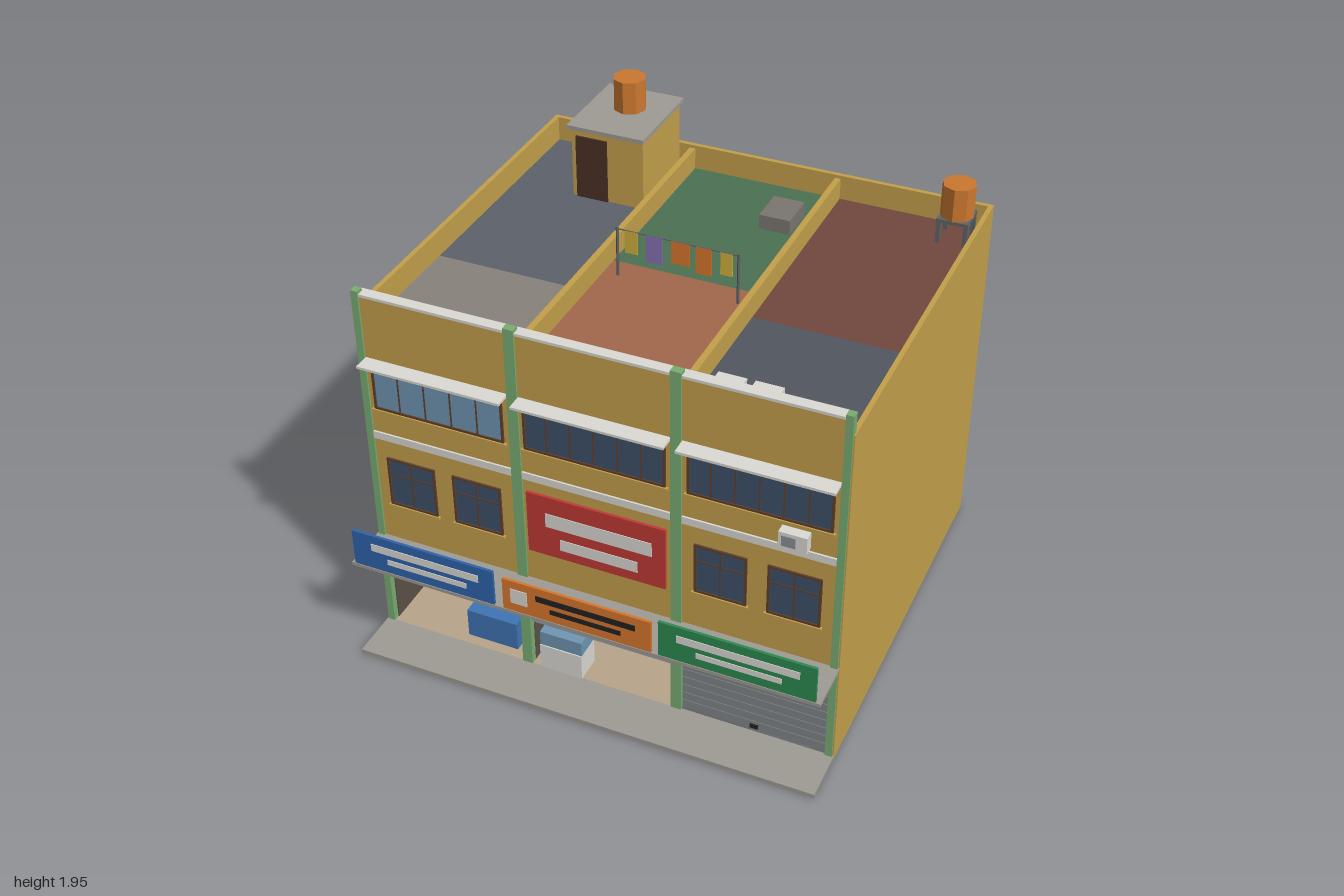
import * as THREE from 'three';

const C = {
  wall: 0xc4a04b, green: 0x7aad72, white: 0xdcdad4, concrete: 0x9f9b94, frame: 0x5f402e, door: 0x4a3026,
  glass: 0x3e5168, lightGlass: 0x7096b4, dark: 0x38302a, shelf: 0xa58a6c, tank: 0xcb7830, pipe: 0x606468,
  shutter: 0x9aa0a3, shutterDark: 0x80868a, black: 0x222222, yellow: 0xd0b040, orange: 0xd8762c,
  blue: 0x3f82bd, purple: 0x8572b5, pink: 0xb8458f, lime: 0x4fa358, brown: 0x805a3c, red: 0xc23a36,
};
const mats = {};
const mat = (c) => (mats[c] ??= new THREE.MeshStandardMaterial({ color: c, flatShading: true }));

// Box given by its limits on each axis
function box(parent, name, x0, x1, y0, y1, z0, z1, color) {
  const m = new THREE.Mesh(new THREE.BoxGeometry(x1 - x0, y1 - y0, z1 - z0), mat(color));
  m.position.set((x0 + x1) / 2, (y0 + y1) / 2, (z0 + z1) / 2);
  m.name = name;
  parent.add(m);
  return m;
}
function cylinder(parent, name, x, z, y0, y1, r, color, sides = 8) {
  const m = new THREE.Mesh(new THREE.CylinderGeometry(r, r, y1 - y0, sides), mat(color));
  m.position.set(x, (y0 + y1) / 2, z);
  m.name = name;
  parent.add(m);
}
function group(parent, name) {
  const g = new THREE.Group();
  g.name = name;
  parent.add(g);
  return g;
}

const FRONT = 0.77, BACK = -0.945, ROOF = 1.47, TOP = 1.58;

// Framed window on the front (dir 1) or back (dir -1) wall
function windowUnit(parent, x0, x1, y0, y1, z, dir, panes, glass, rail) {
  const g = group(parent, 'window');
  const put = (n, a, b, c, d, depth, col) =>
    box(g, n, a, b, c, d, Math.min(z, z + dir * depth), Math.max(z, z + dir * depth), col);
  const f = 0.01;
  put('glass', x0 + f, x1 - f, y0 + f, y1 - f, 0.003, glass);
  for (const y of [y0, y1 - f]) put('frameRail', x0, x1, y, y + f, 0.008, C.frame);
  for (const x of [x0, x1 - f]) put('frameStile', x, x + f, y0 + f, y1 - f, 0.008, C.frame);
  for (let i = 1; i < panes; i++) {
    const x = x0 + ((x1 - x0) * i) / panes;
    put('mullion', x - 0.003, x + 0.003, y0 + f, y1 - f, 0.006, C.frame);
  }
  if (rail) put('transom', x0 + f, x1 - f, rail - 0.003, rail + 0.003, 0.0055, C.frame);
}

// Air conditioner with grille
function airCon(parent, x, y, z, dir) {
  const g = group(parent, 'airConditioner');
  const e = z + dir * 0.042, e2 = e + dir * 0.003;
  box(g, 'casing', x - 0.056, x + 0.056, y - 0.037, y + 0.037, Math.min(z, e), Math.max(z, e), C.white);
  box(g, 'grille', x - 0.043, x + 0.012, y - 0.023, y + 0.023, Math.min(e, e2), Math.max(e, e2), 0x8d9296);
}

// Slatted shutter
function shutter(parent, x0, x1, y0, y1, color) {
  const g = group(parent, 'shutter');
  box(g, 'shutterBacking', x0, x1, y0, y1, 0.74, 0.755, color);
  const n = Math.round((y1 - y0) / 0.042), h = (y1 - y0) / n;
  for (let i = 0; i < n; i++)
    box(g, 'slat', x0, x1, y0 + i * h + 0.003, y0 + (i + 1) * h, 0.755, 0.761, color);
}

// Sign board with blank bars: [x0, x1, y0, y1, color]
function sign(parent, x0, x1, y0, y1, z, color, bars) {
  const g = group(parent, 'sign');
  box(g, 'signBoard', x0, x1, y0, y1, z, z + 0.012, color);
  for (const [a, b, c, d, col] of bars) box(g, 'signBar', a, b, c, d, z + 0.012, z + 0.015, col);
}

// Open shop with shelves of goods
function shop(parent, x0, x1, shelfTop, rows, seed) {
  const g = group(parent, 'shop');
  box(g, 'shopFloor', x0, x1, 0.005, 0.02, 0.47, 0.775, 0xb9a48a);
  box(g, 'shopBack', x0, x1, 0.005, 0.44, 0.46, 0.47, C.dark);
  box(g, 'shopCeiling', x0, x1, 0.43, 0.44, 0.47, 0.75, C.dark);
  for (const x of [x0, x1 - 0.01]) box(g, 'shopSide', x, x + 0.01, 0.02, 0.43, 0.47, 0.75, 0x5c5148);
  const a = x0 + 0.03, b = x1 - 0.03;
  box(g, 'shelfBack', a, b, 0.02, shelfTop, 0.47, 0.5, C.shelf);
  const goods = [C.yellow, C.blue, C.white, C.brown, C.pink, C.lime, C.orange];
  const widths = [0.1, 0.14, 0.09, 0.17, 0.12];
  rows.forEach((y, r) => {
    box(g, 'shelfBoard', a, b, y - 0.012, y, 0.5, 0.57, C.shelf);
    let x = a + 0.012;
    for (let i = 0; x < b - 0.03; i++) {
      const w = Math.min(widths[(i + r * 2 + seed) % 5], b - 0.01 - x);
      box(g, 'goods', x, x + w, y, y + 0.052, 0.5, 0.56, goods[(i * 2 + r * 3 + seed) % 7]);
      x += w + 0.008;
    }
  });
  return g;
}

export function createModel() {
  const model = new THREE.Group();
  model.name = 'shopBuilding';

  // Pavement, outer walls and roof
  box(model, 'pavement', -1, 1, 0, 0.02, 0.77, 0.99, C.concrete);
  for (const s of [-1, 1])
    box(model, 'sideWall', Math.min(s, s * 0.98), Math.max(s, s * 0.98), 0, TOP, BACK, FRONT, C.wall);
  box(model, 'backWall', -0.98, 0.98, 0, TOP, BACK, BACK + 0.02, C.wall);
  box(model, 'frontWall', -0.98, 0.98, 0.44, 1.64, 0.75, FRONT, C.wall);
  box(model, 'parapetCap', -0.99, 0.99, 1.64, 1.652, 0.728, 0.774, C.white);
  const roofs = [
    [-0.98, -0.335, 0.155, 0x5c616b, 0x87837b],
    [-0.335, 0.335, -0.095, 0x4b7153, 0xa2684d],
    [0.335, 0.98, 0.07, 0x71473e, 0x52565f],
  ];
  for (const [x0, x1, split, back, front] of roofs) {
    box(model, 'rearRoof', x0, x1, ROOF - 0.02, ROOF, -0.925, split, back);
    box(model, 'frontRoof', x0, x1, ROOF - 0.02, ROOF, split, 0.75, front);
  }
  for (const x of [-0.335, 0.33])
    box(model, 'roofDivider', x - 0.013, x + 0.013, ROOF, 1.565, -0.925, 0.75, C.wall);
  for (const [x, w] of [[-0.98, 0.03], [-0.333, 0.044], [0.332, 0.044], [0.98, 0.03]])
    box(model, 'pillar', x - w / 2, x + w / 2, 0.02, 1.665, 0.745, 0.779, C.green);

  // Front bands, canopies and upper windows
  const bays = [[-0.965, -0.355], [-0.31, 0.31], [0.355, 0.965]];
  const upper = [[-0.945, -0.38, 5, C.lightGlass], [-0.295, 0.29, 6, C.glass], [0.375, 0.945, 6, C.glass]];
  bays.forEach(([a, b], i) => {
    box(model, 'floorBand', a, b, 0.985, 1.018, FRONT, 0.778, C.white);
    box(model, 'canopy', a, b, 1.355, 1.366, FRONT, 0.84, C.white);
    const [x0, x1, panes, glass] = upper[i];
    windowUnit(model, x0, x1, 1.133, 1.337, FRONT, 1, panes, glass);
    box(model, 'sill', x0 - 0.01, x1 + 0.01, 1.122, 1.133, FRONT, 0.784, C.wall);
  });
  for (const x of [-0.81, -0.517, 0.512, 0.808]) {
    windowUnit(model, x - 0.107, x + 0.107, 0.668, 0.9, FRONT, 1, 2, C.glass, 0.82);
    box(model, 'sill', x - 0.115, x + 0.115, 0.657, 0.668, FRONT, 0.784, C.wall);
  }
  airCon(model, 0.805, 1.068, FRONT, 1);

  // Signs and the awning slab
  box(model, 'awning', -1, 1, 0.473, 0.488, FRONT, 0.978, C.concrete);
  sign(model, -0.295, 0.29, 0.64, 0.93, FRONT, C.red,
    [[-0.215, 0.235, 0.785, 0.85, C.white], [-0.155, 0.175, 0.685, 0.737, C.white]]);
  sign(model, -0.985, -0.355, 0.488, 0.655, 0.963, 0x2f64ad,
    [[-0.9, -0.42, 0.58, 0.615, C.white], [-0.83, -0.475, 0.53, 0.556, C.white]]);
  sign(model, -0.315, 0.315, 0.488, 0.638, 0.963, C.orange,
    [[-0.28, -0.208, 0.53, 0.6, C.white], [-0.17, 0.25, 0.573, 0.6, C.black], [-0.11, 0.19, 0.528, 0.55, C.black]]);
  sign(model, 0.345, 0.98, 0.488, 0.655, 0.963, 0x2c8a52,
    [[0.42, 0.915, 0.58, 0.615, C.white], [0.5, 0.845, 0.53, 0.556, C.white]]);

  // Ground floor shops and shutters
  const left = shop(model, -0.97, -0.345, 0.32, [0.065, 0.15, 0.24], 0);
  for (let i = 0; i < 9; i++) {
    const c = [C.yellow, C.pink, C.lime, C.orange, C.white, C.blue, C.brown, C.orange, C.yellow][i];
    box(left, 'hangingGoods', -0.938 + i * 0.029, -0.924 + i * 0.029, 0.31, 0.42, 0.66, 0.672, c);
  }
  box(left, 'counter', -0.635, -0.405, 0.02, 0.155, 0.62, 0.73, 0x3f74b5);
  const middle = shop(model, -0.32, 0.32, 0.25, [0.065, 0.15], 3);
  box(middle, 'freezer', -0.272, -0.085, 0.02, 0.14, 0.66, 0.78, C.white);
  box(middle, 'freezerTop', -0.272, -0.085, 0.14, 0.208, 0.66, 0.775, C.lightGlass);
  for (const [a, b] of bays) box(model, 'shutterHousing', a, b, 0.435, 0.473, 0.75, 0.785, C.shutter);
  shutter(model, -0.313, 0.313, 0.235, 0.44, C.shutter);
  shutter(model, 0.35, 0.97, 0.02, 0.44, C.shutterDark);
  box(model, 'shutterHandle', 0.645, 0.68, 0.03, 0.048, 0.761, 0.768, C.black);

  // Back wall: windows, doors, drain pipes and air conditioners
  for (const x of [0.6, 0.08, -0.74])
    for (const y of [0.785, 1.235])
      windowUnit(model, x - 0.085, x + 0.085, y - 0.09, y + 0.09, BACK, -1, 2, C.glass);
  for (const x of [0.81, -0.12, -0.53])
    windowUnit(model, x - 0.068, x + 0.068, 0.185, 0.3, BACK, -1, 2, C.glass);
  for (const x of [0.47, 0.22, -0.88])
    box(model, 'backDoor', x - 0.073, x + 0.073, 0.005, 0.305, BACK - 0.008, BACK, C.door);
  for (const x of [0.97, 0.285, -0.38]) cylinder(model, 'drainPipe', x, BACK - 0.009, 0.01, 1.49, 0.01, C.pipe, 6);
  for (const [x, y] of [[0.76, 1.093], [-0.105, 0.637], [-0.563, 1.093]]) airCon(model, x, y, BACK, -1);

  // Stair house with its water tank
  const house = group(model, 'stairHouse');
  box(house, 'houseWalls', -0.705, -0.38, ROOF, 1.79, -0.885, -0.51, C.wall);
  box(house, 'houseRoof', -0.715, -0.367, 1.79, 1.808, -0.905, -0.485, C.concrete);
  box(house, 'houseDoor', -0.685, -0.543, ROOF, 1.755, -0.51, -0.503, C.door);
  windowUnit(house, -0.6, -0.485, 1.63, 1.735, -0.885, -1, 2, C.glass);
  cylinder(house, 'waterTank', -0.54, -0.735, 1.808, 1.95, 0.071, C.tank);

  // Second tank on its stand
  const stand = group(model, 'tankStand');
  cylinder(stand, 'waterTank', 0.882, -0.813, 1.58, 1.725, 0.071, C.tank);
  box(stand, 'standTop', 0.815, 0.949, 1.565, 1.58, -0.88, -0.746, C.pipe);
  for (const x of [0.825, 0.939])
    for (const z of [-0.87, -0.756])
      box(stand, 'standLeg', x - 0.009, x + 0.009, ROOF, 1.565, z - 0.009, z + 0.009, C.pipe);

  // Roof boxes
  box(model, 'roofHatch', 0.12, 0.255, ROOF, 1.535, -0.73, -0.56, 0x7c766f);
  for (const x of [0.46, 0.605]) box(model, 'roofUnit', x - 0.056, x + 0.056, ROOF, 1.545, 0.555, 0.63, C.white);

  // Washing line
  const line = group(model, 'washingLine');
  for (const x of [-0.258, 0.255]) cylinder(line, 'linePole', x, 0, ROOF, 1.692, 0.006, C.pipe, 6);
  box(line, 'line', -0.258, 0.255, 1.682, 1.686, -0.002, 0.002, C.pipe);
  const cloths = [[-0.198, 0.055, 0.1, C.yellow], [-0.1, 0.068, 0.12, C.purple], [0.012, 0.078, 0.1, C.orange],
    [0.11, 0.066, 0.12, C.orange], [0.205, 0.05, 0.1, C.yellow]];
  for (const [x, w, h, c] of cloths) box(line, 'cloth', x - w / 2, x + w / 2, 1.684 - h, 1.684, -0.003, 0.003, c);

  return model;
}
